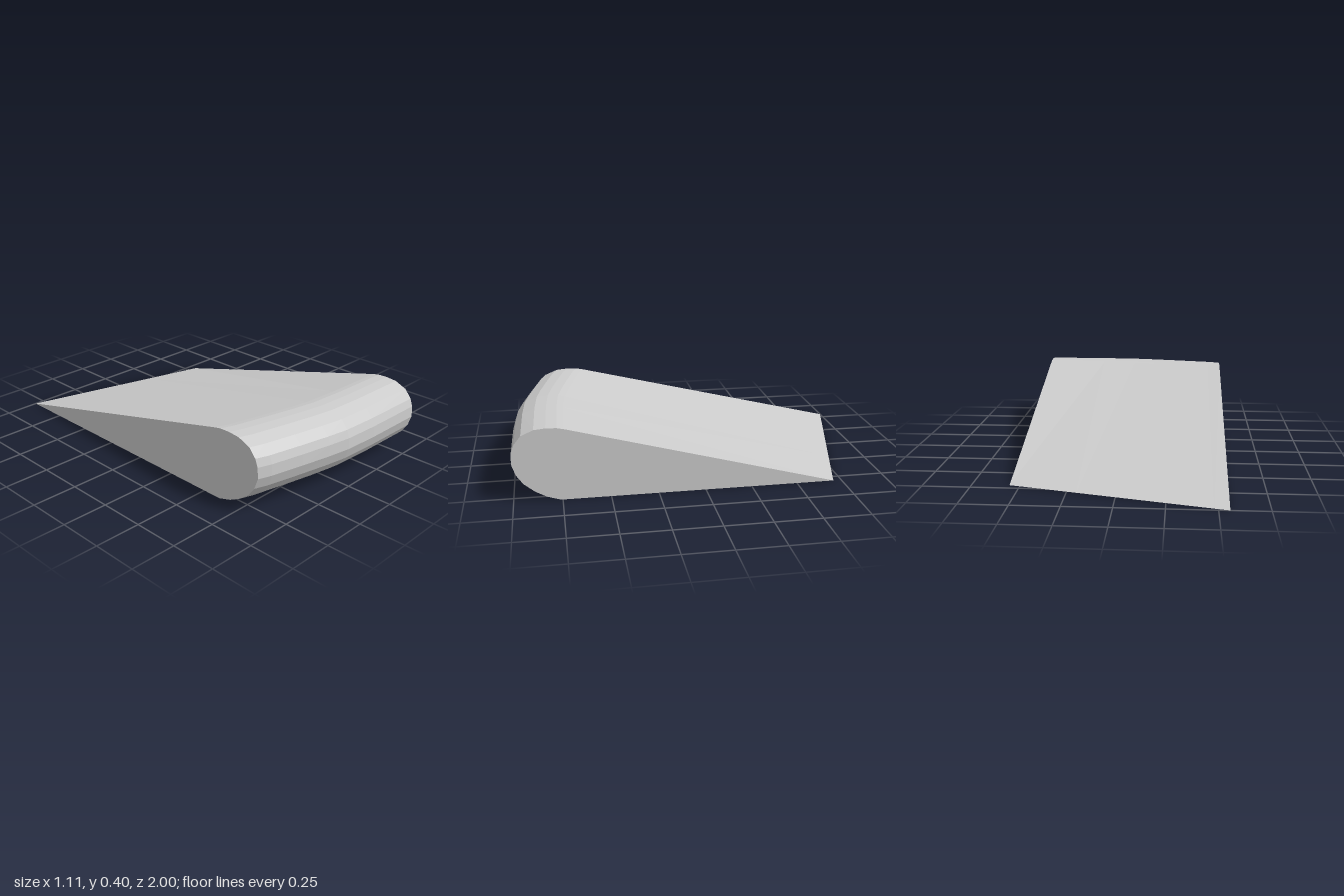
import * as THREE from 'three';

// Nose outline, bottom to top: [distance behind the nose tip, height]
const NOSE = [
  [0.24, 0], [0.17, 0.022], [0.11, 0.055], [0.055, 0.1], [0.02, 0.15],
  [0, 0.21], [0.003, 0.27], [0.018, 0.312], [0.055, 0.358], [0.12, 0.386],
  [0.18, 0.392], [0.235, 0.39], [0.27, 0.383],
];
// Bowed leading edge: [x, z of the nose tip]
const STATIONS = [
  [-0.555, 0.862], [-0.48, 0.887], [-0.3, 0.927], [-0.13, 0.962],
  [0, 0.984], [0.2, 0.995], [0.555, 1],
];

// Closed cross-section at one x, finishing at the sharp tail
function section([x, noseZ]) {
  const t = (0.555 - x) / 1.11;
  const points = NOSE.map(([back, y]) =>
    new THREE.Vector3(x, y * (1 + 0.012 * t), noseZ - back * (1 + 0.06 * t)));
  points.push(new THREE.Vector3(x, 0, -0.705 - 0.295 * t));
  return points;
}

function wedgeGeometry() {
  const rings = STATIONS.map(section);
  const n = rings[0].length;
  const pos = [];
  const tri = (a, b, c) => [a, b, c].forEach((p) => pos.push(p.x, p.y, p.z));

  // Outer skin: underside, rounded nose and sloping top
  for (let i = 0; i < rings.length - 1; i++) {
    const a = rings[i], b = rings[i + 1];
    for (let j = 0; j < n; j++) {
      const k = (j + 1) % n;
      tri(a[j], b[j], b[k]);
      tri(a[j], b[k], a[k]);
    }
  }
  // Flat ends, fanned from the tail
  const right = rings[0], left = rings[rings.length - 1], tail = n - 1;
  for (let j = 0; j < tail - 1; j++) {
    tri(right[tail], right[j], right[j + 1]);
    tri(left[tail], left[j + 1], left[j]);
  }

  // Unshared corners give faceted normals
  const geo = new THREE.BufferGeometry();
  geo.setAttribute('position', new THREE.Float32BufferAttribute(pos, 3));
  geo.computeVertexNormals();
  return geo;
}

export function createModel() {
  const grey = new THREE.MeshStandardMaterial({ color: 0xcccccc });
  grey.name = 'light grey';
  const wedge = new THREE.Mesh(wedgeGeometry(), grey);
  wedge.name = 'wedge';
  const group = new THREE.Group();
  group.name = 'roundNosedWedge';
  group.add(wedge);
  return group;
}
